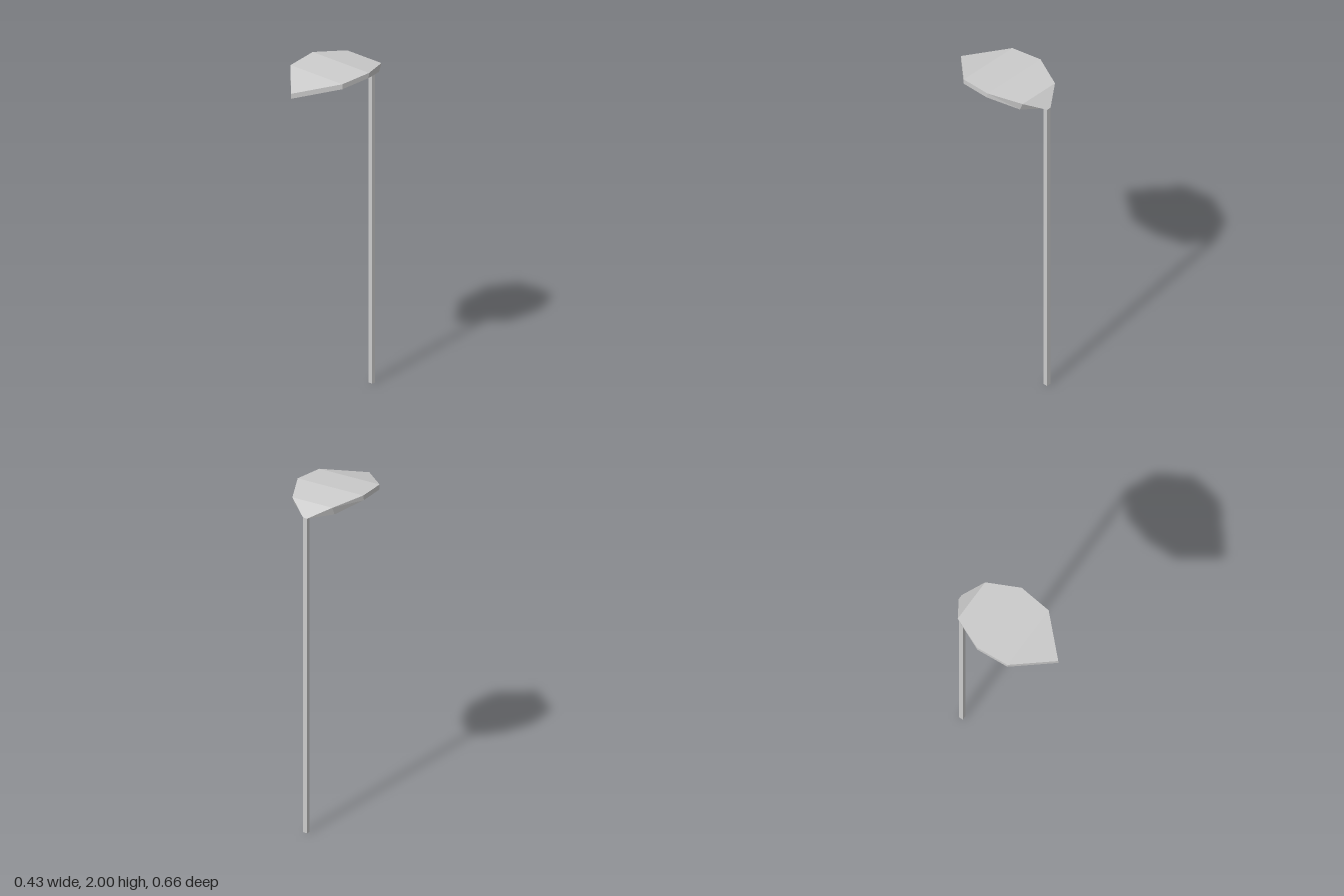
import * as THREE from 'three';

const material = new THREE.MeshStandardMaterial({ color: 0xcccccc, flatShading: true });

// Leaf cross-sections, tip to stem: [half width, top y, top z, bottom y, bottom z]
const SECTIONS = [
  [0, 1.935, 0.331, 1.905, 0.331],
  [0.197, 1.987, 0.126, 1.957, 0.126],
  [0.215, 2.0, -0.07, 1.97, -0.066],
  [0.131, 1.977, -0.258, 1.929, -0.238],
  [0.014, 1.912, -0.334, 1.908, -0.308],
];

function leafGeometry() {
  const rings = SECTIONS.map(([w, ty, tz, by, bz]) => [
    [-w, ty, tz], [w, ty, tz], [w, by, bz], [-w, by, bz],
  ]);
  const points = [];
  const quad = (a, b, c, d) => points.push(...a, ...b, ...c, ...a, ...c, ...d);
  for (let i = 0; i < rings.length - 1; i++) {
    const r = rings[i], s = rings[i + 1];
    for (let k = 0; k < 4; k++) {
      const n = (k + 1) % 4;
      quad(r[k], r[n], s[n], s[k]);
    }
  }
  quad(...rings[rings.length - 1]); // back end, where the leaf meets the stem
  const geometry = new THREE.BufferGeometry();
  geometry.setAttribute('position', new THREE.Float32BufferAttribute(points, 3));
  geometry.computeVertexNormals();
  return geometry;
}

export function createModel() {
  const model = new THREE.Group();
  model.name = 'leafOnStem';

  // Arched leaf blade
  const leaf = new THREE.Mesh(leafGeometry(), material);
  leaf.name = 'leaf';
  model.add(leaf);

  // Thin square stem under the back end of the leaf
  const height = 1.91;
  const stem = new THREE.Mesh(new THREE.BoxGeometry(0.026, height, 0.025), material);
  stem.name = 'stem';
  stem.position.set(0, height / 2, -0.32);
  model.add(stem);

  return model;
}
